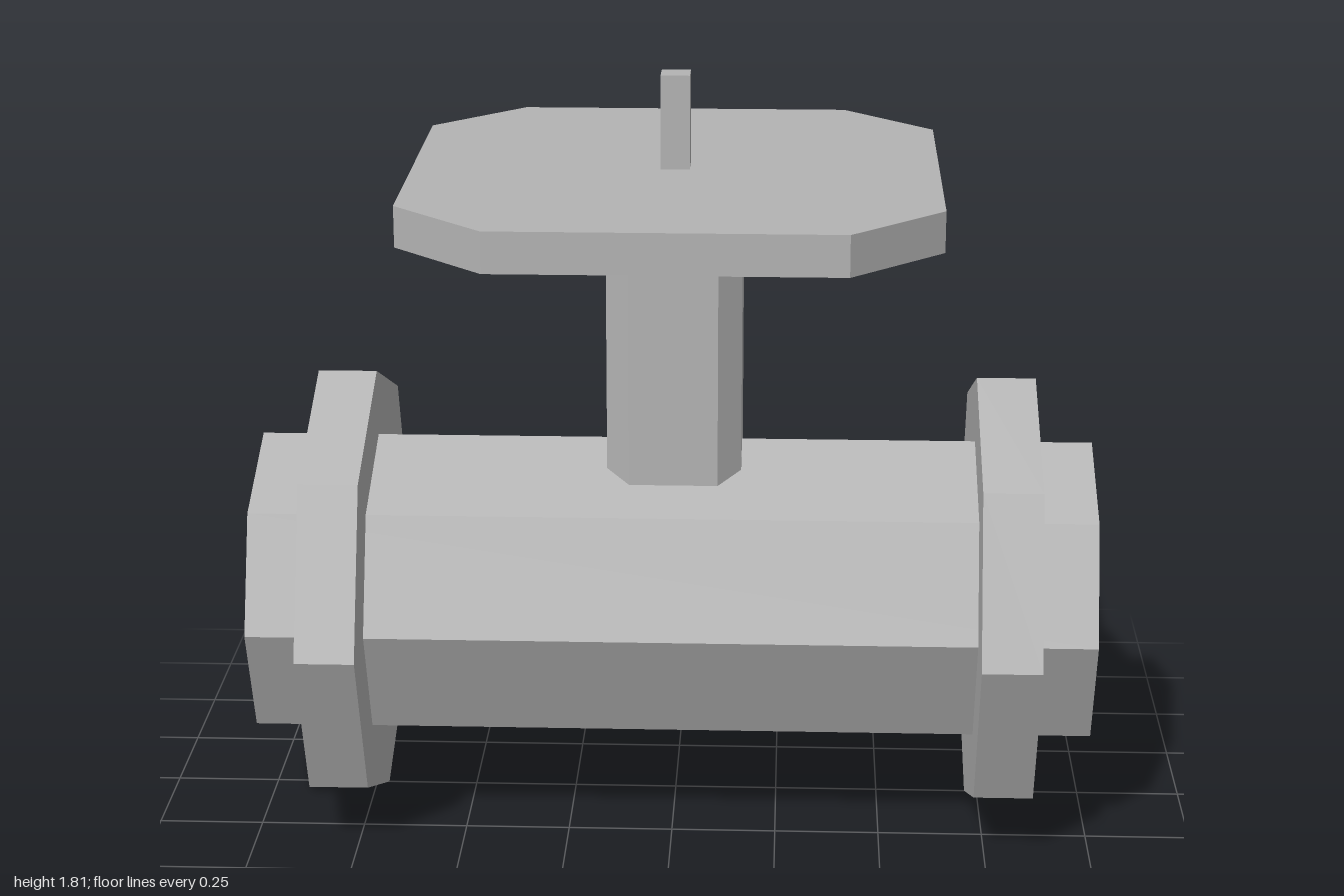
import * as THREE from 'three';

const steel = new THREE.MeshStandardMaterial({ color: 0xb4b4b4 });
steel.name = 'grey steel';
steel.flatShading = true;

const AXIS_Y = 0.54; // height of the pipe's centre line

function part(name, geometry, x, y, z) {
  const mesh = new THREE.Mesh(geometry, steel);
  mesh.name = name;
  mesh.position.set(x, y, z);
  return mesh;
}

// Eight-sided drum lying along x, with a corner pointing up
function drum(radius, length) {
  return new THREE.CylinderGeometry(radius, radius, length, 8).rotateZ(Math.PI / 2);
}

// Upright square prism with cut corners; base at y = 0
function cutSquarePrism(half, inner, height) {
  const shape = new THREE.Shape([
    [half, -inner], [half, inner], [inner, half], [-inner, half],
    [-half, inner], [-half, -inner], [-inner, -half], [inner, -half],
  ].map(([x, y]) => new THREE.Vector2(x, y)));
  return new THREE.ExtrudeGeometry(shape, { depth: height, bevelEnabled: false }).rotateX(-Math.PI / 2);
}

export function createModel() {
  const valve = new THREE.Group();
  valve.name = 'valve';

  // Pipe with a flange near each end
  valve.add(part('pipe', drum(0.38, 2), 0, AXIS_Y, 0));
  for (const side of [-1, 1]) {
    valve.add(part(side > 0 ? 'leftFlange' : 'rightFlange', drum(0.54, 0.14), side * 0.79, AXIS_Y, 0));
  }

  // Neck rising from the pipe, with the handwheel floating above it
  valve.add(part('neck', cutSquarePrism(0.16, 0.105, 1.41 - AXIS_Y), 0, AXIS_Y, 0));
  valve.add(part('handwheel', cutSquarePrism(0.617, 0.402, 0.096), 0, 1.496, 0));

  // Square spindle on top of the wheel
  valve.add(part('spindle', new THREE.BoxGeometry(0.068, 0.265, 0.068), 0, 1.682, 0));

  return valve;
}
